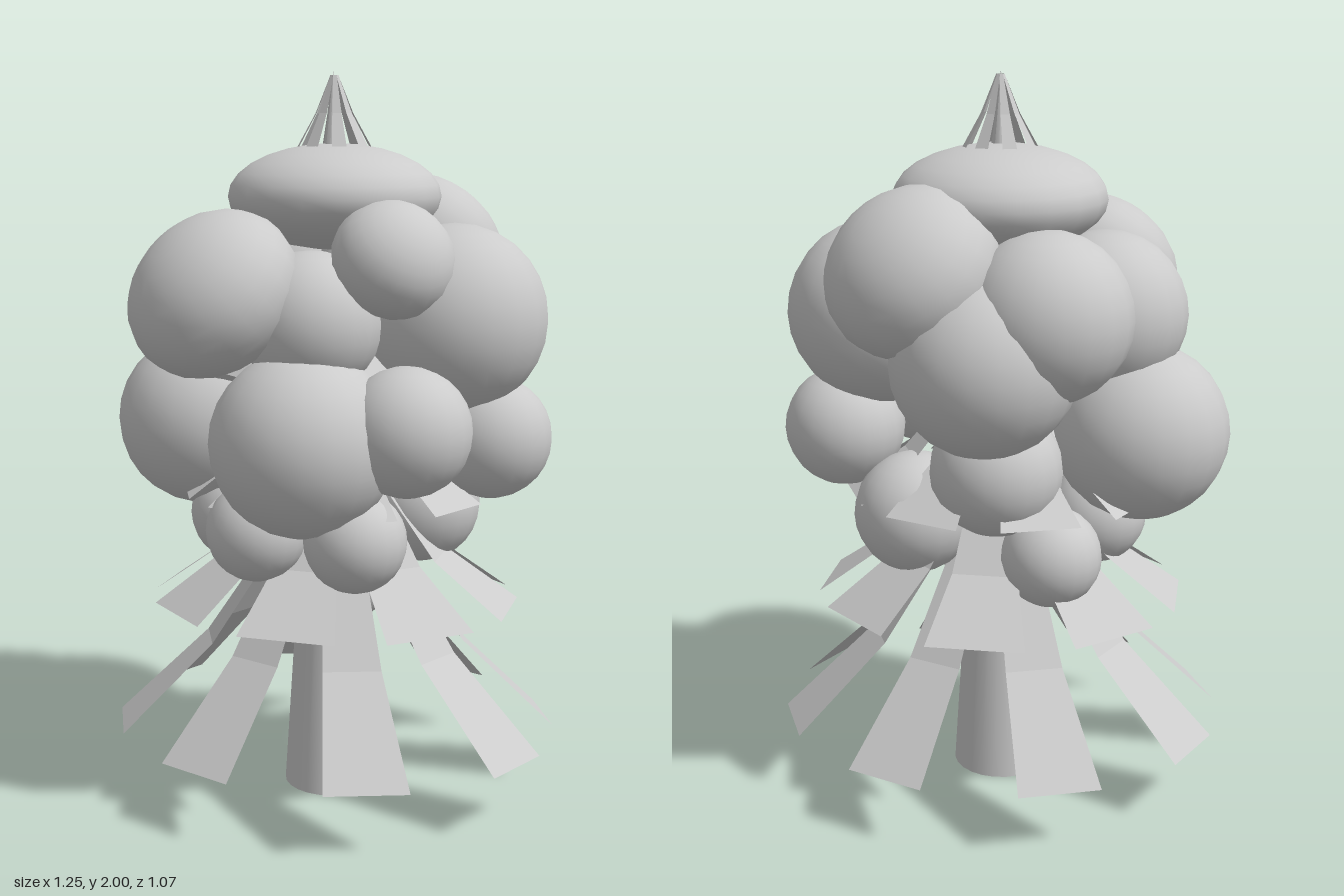
import * as THREE from 'three';

const smooth = new THREE.MeshStandardMaterial({ color: 0xcccccc });
const open = new THREE.MeshStandardMaterial({ color: 0xcccccc, side: THREE.DoubleSide });
const thin = new THREE.MeshStandardMaterial({ color: 0xcccccc, side: THREE.DoubleSide, flatShading: true });

function add(parent, name, geometry, material) {
  const mesh = new THREE.Mesh(geometry, material);
  mesh.name = name;
  parent.add(mesh);
  return mesh;
}

// Bent strip leaf: rows of [radius, height, width], pointing along +x
function leafGeometry(rows) {
  const positions = [], index = [];
  rows.forEach(([r, y, w], i) => {
    positions.push(r, y, -w / 2, r, y, w / 2);
    if (i) {
      const a = 2 * i - 2;
      index.push(a, a + 1, a + 2, a + 1, a + 3, a + 2);
    }
  });
  const g = new THREE.BufferGeometry();
  g.setAttribute('position', new THREE.Float32BufferAttribute(positions, 3));
  g.setIndex(index);
  g.computeVertexNormals();
  return g;
}

// Ring of eight drooping leaves
function leafTier(name, rows, offset) {
  const tier = new THREE.Group();
  tier.name = name;
  const geometry = leafGeometry(rows);
  for (let i = 0; i < 8; i++) {
    add(tier, 'leaf', geometry, thin).rotation.y = (i + offset) * Math.PI / 4;
  }
  tier.scale.z = 0.87;
  tier.position.z = -0.01;
  return tier;
}

// Foliage ball; flat < 1 squashes it along an axis leaning outward and up
function foliageBall(parent, [x, y, z, r, flat = 1]) {
  const ball = add(parent, 'foliageBall', new THREE.SphereGeometry(r, 20, 14), smooth);
  ball.position.set(x, y, z);
  ball.scale.y = flat;
  if (flat < 1) {
    const out = new THREE.Vector3(x, 0, z).normalize().setY(1).normalize();
    ball.quaternion.setFromUnitVectors(new THREE.Vector3(0, 1, 0), out);
  }
}

export function createModel() {
  const model = new THREE.Group();
  model.name = 'tree';

  // Hollow trunk with an inner stem
  add(model, 'trunk', new THREE.CylinderGeometry(0.08, 0.138, 0.9, 24, 1, true), open).position.y = 0.45;
  add(model, 'stem', new THREE.CylinderGeometry(0.03, 0.045, 1.7, 16), smooth).position.y = 0.85;
  add(model, 'tip', new THREE.ConeGeometry(0.04, 0.3, 12), smooth).position.y = 1.85;

  // Leaf tiers, bottom to top
  const tiers = [
    [[[0.07, 0.86, 0.09], [0.36, 0.43, 0.16], [0.62, 0.18, 0.23]], 0.5],
    [[[0.07, 1.0, 0.09], [0.31, 0.69, 0.18], [0.505, 0.55, 0.27]], 0],
    [[[0.06, 1.2, 0.08], [0.26, 0.97, 0.14], [0.42, 0.855, 0.22]], 0.5],
    [[[0.05, 1.5, 0.06], [0.2, 1.29, 0.12], [0.33, 1.2, 0.17]], 0],
    [[[0.01, 1.99, 0.01], [0.05, 1.89, 0.025], [0.1, 1.8, 0.04]], 0.5],
  ];
  tiers.forEach(([rows, offset]) => model.add(leafTier('leafTier', rows, offset)));

  // Crown cap
  const cap = add(model, 'crownCap', new THREE.SphereGeometry(0.29, 20, 14), smooth);
  cap.position.set(0, 1.67, -0.015);
  cap.scale.y = 0.49;

  // Foliage balls: x, y, z, radius, flatness
  const foliage = new THREE.Group();
  foliage.name = 'foliage';
  model.add(foliage);
  [
    // upper ring
    [-0.235, 1.43, 0.3, 0.24, 0.8],
    [0.22, 1.52, 0.19, 0.165, 0.85],
    [0.0, 1.35, 0.2, 0.19],
    [0.335, 1.35, -0.01, 0.255],
    [0.19, 1.51, -0.26, 0.24, 0.82],
    [0.0, 1.28, -0.275, 0.25],
    [-0.16, 1.4, -0.25, 0.225],
    [-0.285, 1.36, 0.01, 0.225],
    // middle ring
    [0, 1.04, 0.27, 0.25],
    [-0.39, 1.04, -0.02, 0.245],
    [0.27, 1.08, 0.235, 0.172],
    [0.435, 1.025, -0.045, 0.168],
    [-0.02, 0.97, -0.21, 0.18],
    // lower ring
    [-0.14, 0.79, 0.245, 0.138],
    [0.135, 0.78, 0.245, 0.138],
    [-0.27, 0.78, 0.02, 0.14],
    [0.22, 0.81, -0.13, 0.17],
    [-0.17, 0.73, -0.21, 0.138],
    [0.05, 0.63, 0.05, 0.13],
  ].forEach((b) => foliageBall(foliage, b));

  return model;
}
